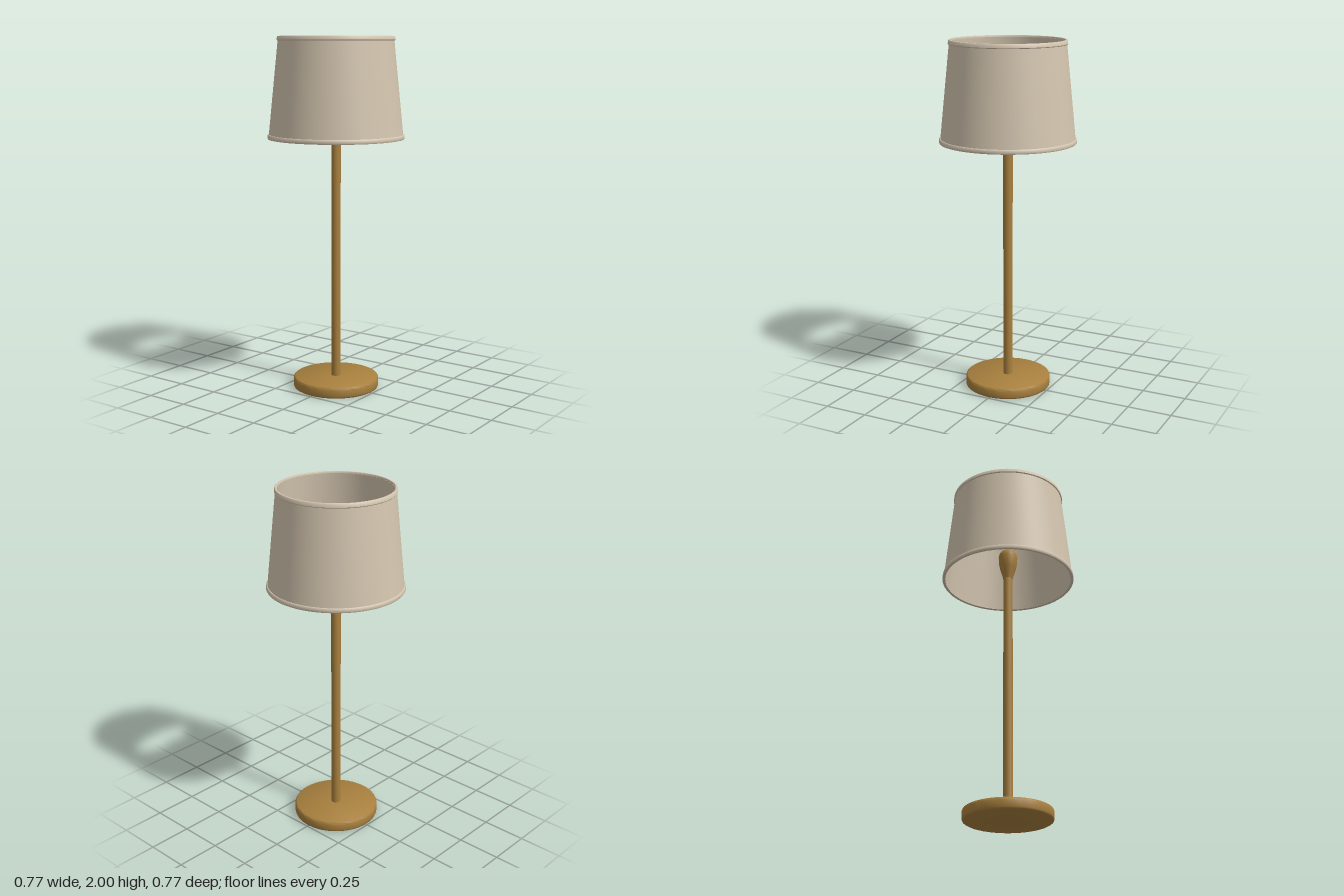
import * as THREE from 'three';
import { toCreasedNormals } from 'three/addons/utils/BufferGeometryUtils.js';

const wood = new THREE.MeshStandardMaterial({ color: 0xa8803e });
wood.name = 'warm wood';
const linen = new THREE.MeshStandardMaterial({ color: 0xd4c6b0 });
linen.name = 'linen';

// Revolves a profile of [radius, height] pairs, listed from bottom to top on the outside
function turned(name, profile, material, segments = 48) {
  const points = profile.map(([r, y]) => new THREE.Vector2(r, y));
  const geometry = toCreasedNormals(new THREE.LatheGeometry(points, segments), 0.7);
  const mesh = new THREE.Mesh(geometry, material);
  mesh.name = name;
  return mesh;
}

export function createModel() {
  const lamp = new THREE.Group();
  lamp.name = 'tableLamp';

  // Round foot with softened edges
  lamp.add(turned('base', [
    [0, 0], [0.235, 0], [0.242, 0.004], [0.245, 0.012],
    [0.245, 0.05], [0.242, 0.059], [0.235, 0.064], [0, 0.064],
  ], wood));

  // Slender pole
  lamp.add(turned('pole', [[0.027, 0.06], [0.027, 1.47]], wood, 16));

  // Bulb flaring out of the pole, with a domed top
  const bulb = [[0, 1.45], [0.028, 1.45], [0.034, 1.475], [0.046, 1.515], [0.053, 1.55]];
  for (let i = 0; i <= 8; i++) {
    const a = (i / 8) * Math.PI / 2;
    bulb.push([0.055 * Math.cos(a), 1.59 + 0.055 * Math.sin(a)]);
  }
  lamp.add(turned('bulb', bulb, wood, 32));

  // Open tapered shade, hollow, with a raised band at each end
  const shade = new THREE.Group();
  shade.name = 'shade';
  shade.add(turned('shadeWall', [
    [0.367, 1.445], [0.376, 1.445], [0.32, 1.99], [0.312, 1.99], [0.367, 1.445],
  ], linen, 64));
  shade.add(turned('bottomBand', [
    [0.366, 1.437], [0.38, 1.435], [0.383, 1.44], [0.381, 1.457],
    [0.378, 1.46], [0.364, 1.46], [0.366, 1.437],
  ], linen, 64));
  shade.add(turned('topBand', [
    [0.314, 1.975], [0.324, 1.975], [0.327, 1.979], [0.325, 1.997],
    [0.322, 2], [0.314, 2], [0.312, 1.997], [0.314, 1.975],
  ], linen, 64));
  lamp.add(shade);

  return lamp;
}
